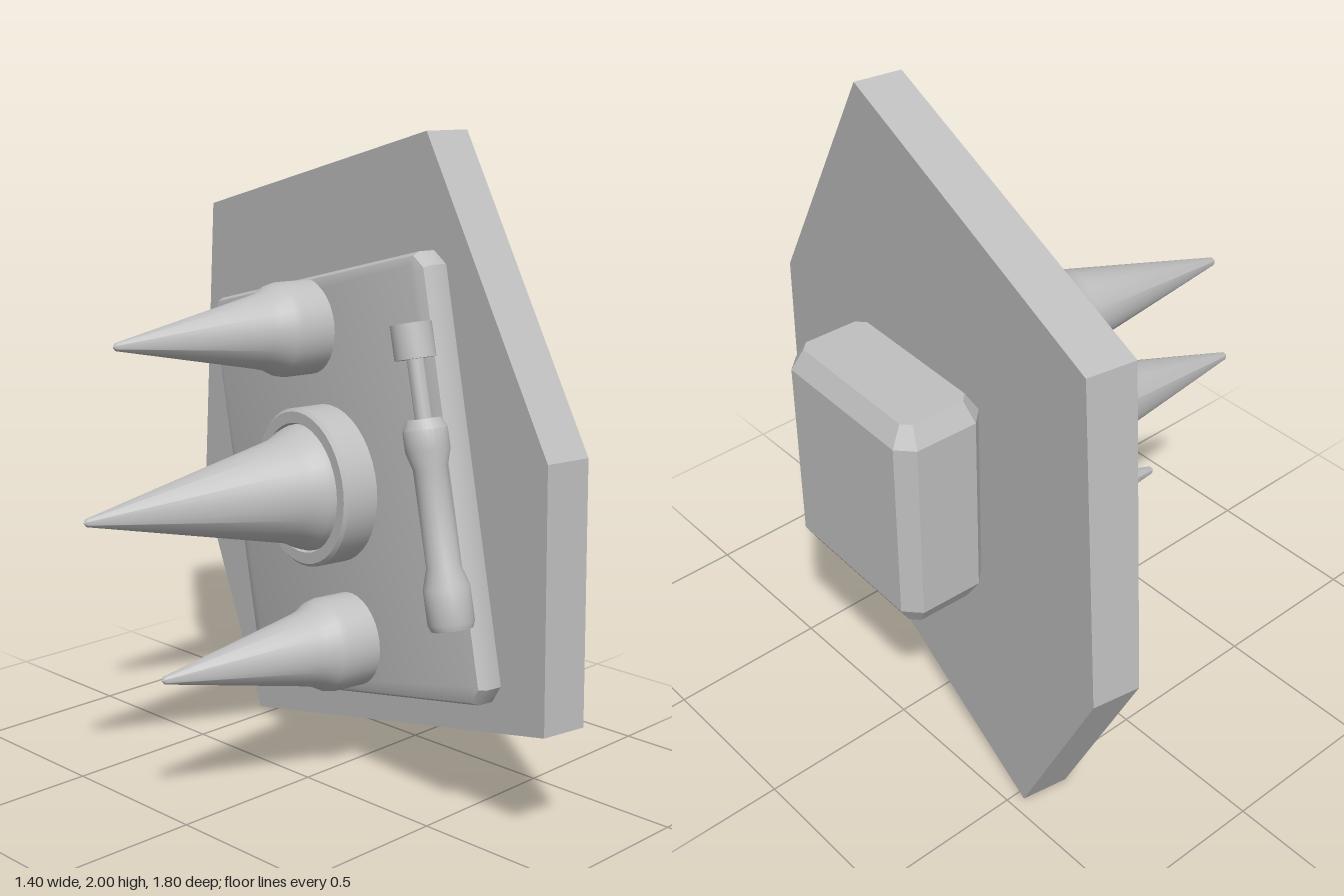
import * as THREE from 'three';
import { toCreasedNormals } from 'three/addons/utils/BufferGeometryUtils.js';

const metal = new THREE.MeshStandardMaterial({ color: 0xbfbfbf });
metal.name = 'grey metal';

const v2 = (pts) => pts.map(([a, b]) => new THREE.Vector2(a, b));

function add(parent, name, geometry, crease = 0.5) {
  const mesh = new THREE.Mesh(toCreasedNormals(geometry, crease), metal);
  mesh.name = name;
  parent.add(mesh);
  return mesh;
}

// Bevelled slab whose outer size matches the given outline half-widths
function slab(w, h, depth, bevel, thickness, segments, corner) {
  const x = w / 2 - bevel, y = h / 2 - bevel, c = corner;
  const shape = new THREE.Shape(v2([
    [-x + c, -y], [x - c, -y], [x, -y + c], [x, y - c],
    [x - c, y], [-x + c, y], [-x, y - c], [-x, -y + c],
  ]));
  return new THREE.ExtrudeGeometry(shape, {
    depth: depth - 2 * thickness, bevelEnabled: true, bevelSize: bevel,
    bevelThickness: thickness, bevelSegments: segments,
  }).translate(0, 0, thickness);
}

// Flared spike pointing along +z
function spike(length, baseRadius, coneRadius) {
  const geometry = new THREE.LatheGeometry(v2([
    [baseRadius, 0], [baseRadius, 0.19], [baseRadius * 0.96, 0.215],
    [coneRadius * 1.07, 0.25], [coneRadius, 0.28],
    [0.012, length - 0.01], [0, length],
  ]), 32);
  return geometry.rotateX(Math.PI / 2);
}

export function createModel() {
  const model = new THREE.Group();
  model.name = 'spikedArmourPlate';

  // Tilted frame: x runs along the plate, z points out of its spiked side
  const frame = new THREE.Group();
  frame.name = 'plateAssembly';
  frame.rotation.y = -THREE.MathUtils.degToRad(100);
  frame.position.set(0.209, 0, 0.037);
  model.add(frame);

  // Six-sided main plate
  const outline = new THREE.Shape(v2([
    [0.282, 2], [-0.876, 1.715], [-0.952, 0.69],
    [-0.601, 0], [0.85, 0.365], [0.83, 1.14],
  ]));
  add(frame, 'mainPlate', new THREE.ExtrudeGeometry(outline, { depth: 0.147, bevelEnabled: false })
    .translate(0, 0, -0.147));

  // Raised panel on the spiked side
  const panel = add(frame, 'raisedPanel', slab(1.18, 1.3, 0.11, 0.035, 0.03, 2, 0.025));
  panel.position.set(-0.05, 0.91, -0.025);
  panel.rotation.z = THREE.MathUtils.degToRad(13.5);

  // Spikes: position along the plate, height, length, base and cone radius
  [
    ['upperSpike', -0.187, 1.39, 0.763, 0.145, 0.112],
    ['middleSpike', -0.065, 0.92, 0.935, 0.195, 0.158],
    ['lowerSpike', 0.056, 0.45, 0.761, 0.145, 0.112],
  ].forEach(([name, x, y, length, base, cone]) => {
    add(frame, name, spike(length, base, cone), 0.7).position.set(x, y, 0);
  });

  // Collar around the middle spike
  const collar = new THREE.LatheGeometry(v2([
    [0.245, 0], [0.245, 0.19], [0.235, 0.2], [0.2, 0.2], [0.19, 0.17], [0.19, 0],
  ]), 40).rotateX(Math.PI / 2);
  add(frame, 'spikeCollar', collar).position.set(-0.065, 0.92, 0);

  // Piston along the panel edge: foot, barrel, rod and head
  const piston = new THREE.LatheGeometry(v2([
    [0, 0], [0.06, 0], [0.068, 0.02], [0.068, 0.12], [0.05, 0.18],
    [0.05, 0.46], [0.065, 0.51], [0.065, 0.57], [0.05, 0.6], [0.025, 0.6],
    [0.025, 0.77], [0.06, 0.77], [0.06, 0.87], [0, 0.87],
  ]), 24);
  const pistonMesh = add(frame, 'piston', piston);
  pistonMesh.position.set(0.58, 0.63, 0.115);
  pistonMesh.rotation.z = THREE.MathUtils.degToRad(14);

  // Chamfered block on the opposite side
  const block = slab(0.285, 0.565, 0.685, 0.035, 0.06, 1, 0.025).rotateX(-Math.PI / 2);
  const blockMesh = add(model, 'mountingBlock', block, 0.4);
  blockMesh.position.set(0.548, 0.68, -0.053);
  blockMesh.rotation.y = THREE.MathUtils.degToRad(-2);

  return model;
}
